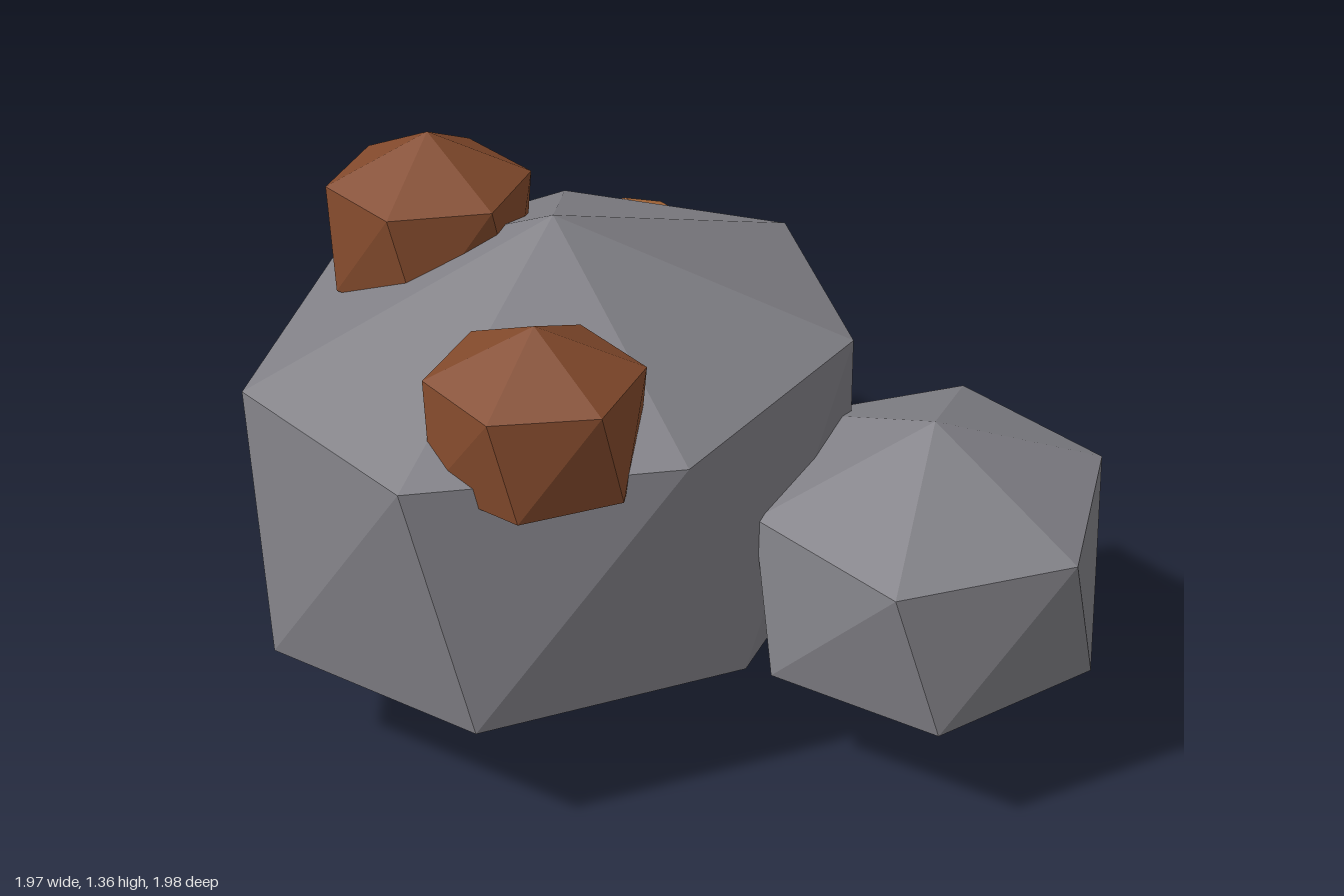
import * as THREE from 'three';
import { ConvexGeometry } from 'three/addons/geometries/ConvexGeometry.js';

const material = (name, color) => {
  const m = new THREE.MeshStandardMaterial({ color });
  m.name = name;
  return m;
};

// Faceted boulder: two poles and two elliptical rings, the lower ring twisted a quarter step.
// a, b: ring half-axes; h: half height; axis: direction of a; start: first corner (degrees)
function boulder(name, mat, [x, y, z], sides, a, b, h, axis, start) {
  const points = [new THREE.Vector3(0, h, 0), new THREE.Vector3(0, -h, 0)];
  const step = 360 / sides;
  const up = new THREE.Vector3(0, 1, 0);
  for (const level of [1, -1]) {
    for (let i = 0; i < sides; i++) {
      const t = THREE.MathUtils.degToRad(start + i * step - (level < 0 ? step / 4 : 0));
      const p = new THREE.Vector3(a * Math.cos(t), level * h / 2, b * Math.sin(t));
      points.push(p.applyAxisAngle(up, -THREE.MathUtils.degToRad(axis)));
    }
  }
  const mesh = new THREE.Mesh(new ConvexGeometry(points), mat);
  mesh.name = name;
  mesh.position.set(x, y, z);
  return mesh;
}

export function createModel() {
  const stone = material('grey stone', 0x828187);
  const brown = material('dark ore', 0x834a2c);
  const orange = material('light ore', 0xba7441);

  const group = new THREE.Group();
  group.name = 'oreRocks';
  group.add(
    // Stones
    boulder('largeRock', stone, [-0.2, 0.62, -0.06], 7, 0.83, 0.69, 0.62, -35, 13),
    boulder('smallRock', stone, [0.535, 0.48, 0.525], 6, 0.505, 0.435, 0.36, -60, 6),
    // Ore nuggets on the top
    boulder('topNuggetBack', brown, [-0.41, 1.11, -0.365], 6, 0.25, 0.25, 0.25, 0, 11),
    boulder('topNuggetFront', brown, [-0.425, 1.0, 0.445], 6, 0.25, 0.25, 0.24, 0, 14),
    // Ore nuggets on the back
    boulder('backNuggetRight', orange, [-0.255, 0.76, -0.755], 6, 0.245, 0.245, 0.24, 0, 14),
    boulder('backNuggetLeft', orange, [0.22, 0.69, -0.685], 6, 0.245, 0.245, 0.24, 0, 14),
  );
  return group;
}
